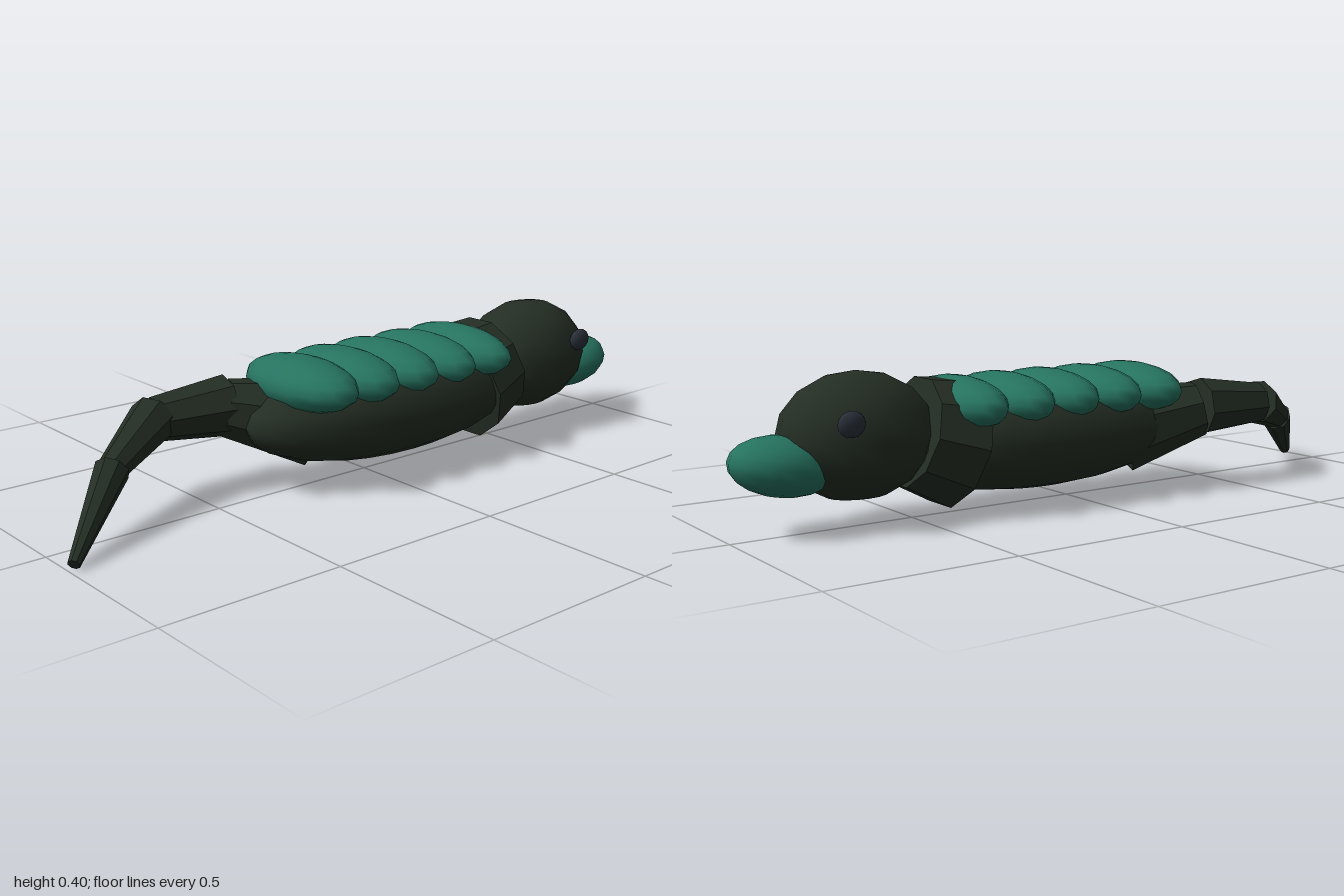
import * as THREE from 'three';

const UP = new THREE.Vector3(0, 1, 0);

function material(name, color) {
  const m = new THREE.MeshStandardMaterial({ color });
  m.name = name;
  return m;
}

export function createModel() {
  const group = new THREE.Group();
  const skin = material('darkGreenSkin', 0x242e24);
  const teal = material('teal', 0x267360);
  const eyeGrey = material('eyeGrey', 0x2a303a);

  // Smooth ellipsoid with its poles on the local y axis
  function ellipsoid(name, mat, pos, radii, w = 16, h = 12) {
    const mesh = new THREE.Mesh(new THREE.SphereGeometry(1, w, h), mat);
    mesh.name = name;
    mesh.position.set(...pos);
    mesh.scale.set(...radii);
    group.add(mesh);
    return mesh;
  }

  // Faceted tapered segment between two points
  function segment(name, a, b, ra, rb, sides) {
    const start = new THREE.Vector3(...a), end = new THREE.Vector3(...b);
    const dir = end.clone().sub(start);
    const geo = new THREE.CylinderGeometry(rb, ra, dir.length(), sides).toNonIndexed();
    geo.computeVertexNormals();
    const mesh = new THREE.Mesh(geo, skin);
    mesh.name = name;
    mesh.position.copy(start).add(end).multiplyScalar(0.5);
    mesh.quaternion.setFromUnitVectors(UP, dir.normalize());
    group.add(mesh);
  }

  // Body, neck and head
  ellipsoid('body', skin, [0.1, 0.192, 0], [0.5, 0.15, 0.193], 20, 12);
  segment('neck', [0.365, 0.19, 0], [0.5, 0.23, 0], 0.18, 0.15, 10);
  ellipsoid('head', skin, [0.655, 0.235, 0], [0.213, 0.166, 0.156], 16, 8);

  // Beak, tipped slightly upwards
  const beak = ellipsoid('beak', teal, [0.855, 0.178, 0], [0.142, 0.077, 0.107], 16, 10);
  beak.rotation.z = 0.14;

  // Eyes
  for (const side of [1, -1]) {
    ellipsoid(side > 0 ? 'eyeFront' : 'eyeBack', eyeGrey,
      [0.742, 0.289, side * 0.147], [0.038, 0.033, 0.018], 12, 8);
  }

  // Row of overlapping ridges across the back
  for (let i = 0; i < 5; i++) {
    ellipsoid('backRidge' + (i + 1), teal,
      [-0.222 + i * 0.145, 0.296, 0], [0.11 - i * 0.003, 0.072, 0.206], 16, 10);
  }

  // Jointed tail, curving backwards then forwards to the tip
  segment('tailBase', [-0.18, 0.175, -0.02], [-0.39, 0.23, -0.12], 0.125, 0.08, 8);
  segment('tailMiddle', [-0.385, 0.235, -0.123], [-0.6, 0.232, -0.147], 0.085, 0.06, 8);
  segment('tailRear', [-0.595, 0.235, -0.147], [-0.795, 0.16, -0.038], 0.066, 0.037, 8);
  segment('tailTip', [-0.785, 0.164, -0.042], [-0.986, 0.016, 0.113], 0.046, 0.016, 8);

  return group;
}
